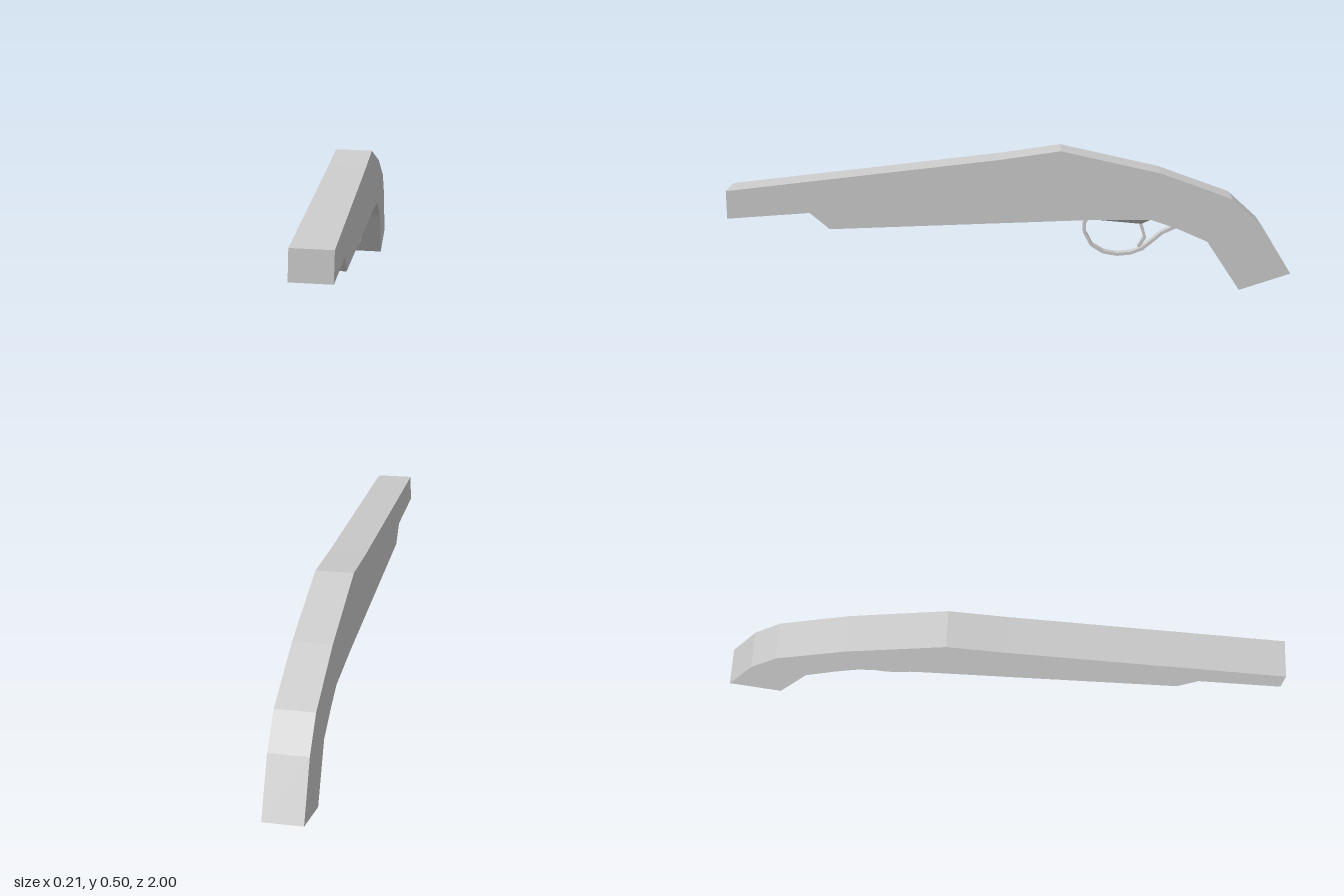
import * as THREE from 'three';
import { ConvexGeometry } from 'three/addons/geometries/ConvexGeometry.js';

const material = new THREE.MeshStandardMaterial({ color: 0xcccccc, flatShading: true });

// Extrude a side profile of [z, y] points to a given width, centred on x = 0
function sideExtrude(name, points, width) {
  const shape = new THREE.Shape(points.map(([z, y]) => new THREE.Vector2(-z, y)));
  const geometry = new THREE.ExtrudeGeometry(shape, { depth: width, bevelEnabled: false });
  geometry.translate(0, 0, -width / 2).rotateY(Math.PI / 2);
  const mesh = new THREE.Mesh(geometry, material);
  mesh.name = name;
  return mesh;
}

// Thicken a path of [z, y] points into a closed band outline
function band(path, thickness) {
  const sides = [[], []];
  path.forEach(([z, y], i) => {
    const a = path[Math.max(i - 1, 0)];
    const b = path[Math.min(i + 1, path.length - 1)];
    const length = Math.hypot(b[0] - a[0], b[1] - a[1]);
    const nz = -(b[1] - a[1]) / length * thickness / 2;
    const ny = (b[0] - a[0]) / length * thickness / 2;
    sides[0].push([z + nz, y + ny]);
    sides[1].unshift([z - nz, y - ny]);
  });
  return sides.flat();
}

export function createModel() {
  const model = new THREE.Group();
  model.name = 'pistol';

  // The whole pistol is yawed and rolled slightly
  const pistol = new THREE.Group();
  pistol.name = 'tiltedPistol';
  pistol.position.y = 0.233;
  pistol.rotation.set(0, 0.0365, -0.03);
  model.add(pistol);

  const parts = new THREE.Group();
  parts.name = 'parts';
  parts.position.y = -0.233;
  pistol.add(parts);

  // Barrel, stock and curved grip in one slab
  parts.add(sideExtrude('barrelAndStock', [
    [0.998, 0.358], [0.03, 0.473], [-0.18, 0.504], [-0.53, 0.426], [-0.785, 0.334],
    [-0.888, 0.241], [-0.998, 0.064], [-0.818, 0.003], [-0.7, 0.18], [-0.59, 0.228],
    [-0.5, 0.259], [-0.27, 0.257], [0.635, 0.221], [0.705, 0.28], [0.998, 0.258],
  ], 0.133));

  // Shallow faceted plate under the stock that carries the trigger
  const plate = [];
  for (const x of [-0.066, 0.066]) {
    plate.push(new THREE.Vector3(x, 0.26, -0.29), new THREE.Vector3(x, 0.26, -0.5));
  }
  for (const x of [-0.013, 0.013]) plate.push(new THREE.Vector3(x, 0.231, -0.47));
  const triggerPlate = new THREE.Mesh(new ConvexGeometry(plate), material);
  triggerPlate.name = 'triggerPlate';
  parts.add(triggerPlate);

  // Trigger guard loop, its tang running back into the grip
  parts.add(sideExtrude('triggerGuard', band([
    [-0.285, 0.262], [-0.268, 0.235], [-0.268, 0.2], [-0.293, 0.153], [-0.335, 0.127],
    [-0.385, 0.118], [-0.435, 0.123], [-0.475, 0.139], [-0.515, 0.172],
    [-0.545, 0.198], [-0.58, 0.215], [-0.615, 0.228],
  ], 0.011), 0.03));

  // Trigger
  parts.add(sideExtrude('trigger', band([
    [-0.462, 0.245], [-0.474, 0.215], [-0.484, 0.18], [-0.462, 0.145],
  ], 0.011), 0.022));

  return model;
}
